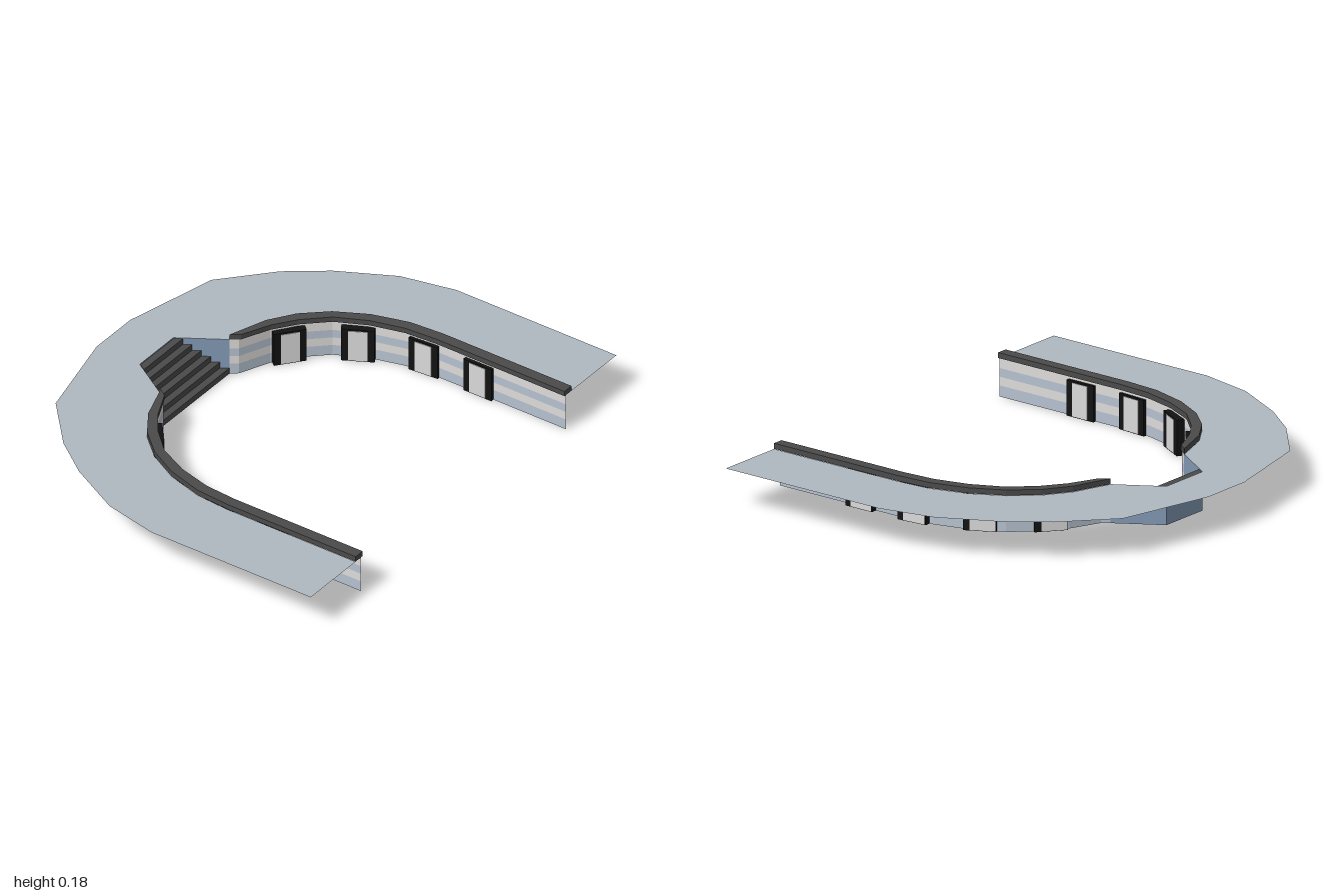
import * as THREE from 'three';

const mat = (name, color, side = THREE.FrontSide) => {
  const m = new THREE.MeshStandardMaterial({ color, side });
  m.name = name;
  return m;
};

// Half plans as [x, z], running from the open front end to the stairs
const INNER = [[0.66, 0.82], [0.66, 0.22], [0.65, 0.08], [0.613, -0.06], [0.55, -0.19],
  [0.46, -0.285], [0.37, -0.35], [0.25, -0.405], [0.225, -0.44]];
const OUTER = [[0.706, 0.82], [0.706, 0.22], [0.695, 0.07], [0.65, -0.085], [0.58, -0.215],
  [0.49, -0.315], [0.385, -0.385], [0.235, -0.437], [0.225, -0.44]];
const DECK = [[1, 0.82], [1, 0.07], [0.95, -0.16], [0.83, -0.39], [0.71, -0.55], [0.51, -0.73], [0.11, -0.825]];
const STAIR_FRONT = [0.225, -0.44], STAIR_BACK = [0.11, -0.622];
const DECK_Y = 0.157;

const mirror = (pts) => pts.map(([x, z]) => [-x, z]);
const lerp = (a, b, t) => [a[0] + (b[0] - a[0]) * t, a[1] + (b[1] - a[1]) * t];
const planShape = (pts) => new THREE.Shape(pts.map(([x, z]) => new THREE.Vector2(x, -z)));

// Flat sheet or solid slab from a plan outline
function sheet(pts, y) {
  return new THREE.ShapeGeometry(planShape(pts)).rotateX(-Math.PI / 2).translate(0, y, 0);
}
function slab(pts, y, h) {
  return new THREE.ExtrudeGeometry(planShape(pts), { depth: h, bevelEnabled: false })
    .rotateX(-Math.PI / 2).translate(0, y, 0);
}

// Upright strip following a plan path
function upright(pts, y0, y1) {
  const v = [];
  for (let i = 0; i < pts.length - 1; i++) {
    const [ax, az] = pts[i], [bx, bz] = pts[i + 1];
    v.push(ax, y0, az, bx, y1, bz, bx, y0, bz, ax, y0, az, ax, y1, az, bx, y1, bz);
  }
  const g = new THREE.BufferGeometry();
  g.setAttribute('position', new THREE.Float32BufferAttribute(v, 3));
  g.computeVertexNormals();
  return g;
}

export function createModel() {
  const root = new THREE.Group();
  root.name = 'curvedTerrace';
  const deckMat = mat('deckGrey', 0xafb8c0, THREE.DoubleSide);
  const white = mat('wallWhite', 0xdedcda, THREE.DoubleSide);
  const band = mat('wallBlueGrey', 0xb6c2d0, THREE.DoubleSide);
  const blue = mat('stairwellBlue', 0x8299b4, THREE.DoubleSide);
  const dark = mat('copingCharcoal', 0x4a4a4a);
  const black = mat('frameBlack', 0x121212);
  const panelMat = mat('doorPanel', 0xdadada);
  const green = mat('plantGreen', 0x1f5a30, THREE.DoubleSide);

  const add = (name, geometry, material, parent = root) => {
    const m = new THREE.Mesh(geometry, material);
    m.name = name;
    parent.add(m);
    return m;
  };

  // Deck wraps around the walls and the stairwell
  const half = [...DECK, ...mirror(DECK).reverse(), ...mirror(OUTER), mirror([STAIR_BACK])[0],
    STAIR_BACK, ...[...OUTER].reverse()];
  add('deck', sheet(half, DECK_Y), deckMat);

  // Banded walls, coping and doors on each side
  const wallPath = INNER.map((p, i) => lerp(p, OUTER[i], 0.2));
  const bands = [[0, 0.045, band], [0.045, 0.08, white], [0.08, 0.115, band], [0.115, 0.16, white]];
  // Door centre [x, z] and direction along the wall
  const doors = [
    [0.675, 0.415, 0, 1],
    [0.672, 0.16, 0.08, 1],
    [0.593, -0.1, 0.48, 0.88],
    [0.428, -0.308, 0.78, 0.62],
  ];
  for (const s of [1, -1]) {
    const side = new THREE.Group();
    side.name = s > 0 ? 'leftWing' : 'rightWing';
    root.add(side);
    const flip = (pts) => (s > 0 ? pts : mirror(pts));

    bands.forEach(([y0, y1, m]) => add('wallBand', upright(flip(wallPath), y0, y1), m, side));
    add('coping', slab(flip([...INNER, ...OUTER.slice(0, -1).reverse()]), 0.158, 0.022), dark, side);

    for (const [x, z, tx, tz] of doors) {
      const door = new THREE.Group();
      door.name = 'door';
      door.position.set(s * x, 0, z);
      door.rotation.y = Math.atan2(-s * tz, tx);
      side.add(door);
      add('doorFrame', new THREE.BoxGeometry(0.13, 0.145, 0.04).translate(0, 0.0725, 0), black, door);
      add('innerPanel', new THREE.BoxGeometry(0.075, 0.135, 0.004).translate(0, 0.071, 0.0205), panelMat, door);
      add('outerPanel', new THREE.BoxGeometry(0.1, 0.138, 0.004)
        .translate(-0.012 * s, 0.071, -0.0205), panelMat, door);
    }
  }

  // Stairwell walls
  add('stairwellWalls', upright([STAIR_FRONT, STAIR_BACK, ...mirror([STAIR_BACK, STAIR_FRONT])], 0, DECK_Y), blue);

  // Tapering stairs
  const steps = 6, rise = 0.155 / steps;
  const back = [STAIR_BACK[0] - 0.002, STAIR_BACK[1] + 0.002];
  const front = [STAIR_FRONT[0] - 0.002, STAIR_FRONT[1]];
  for (let i = 0; i < steps; i++) {
    const nose = lerp(front, back, i / steps);
    add('step', slab([nose, back, ...mirror([back, nose])], i * rise, rise), dark);
  }

  // Small planted patches on the underside of the stairs
  for (const [x, z] of [[0.14, -0.47], [0.1, -0.54], [0.02, -0.5], [0.04, -0.58], [-0.05, -0.52]]) {
    add('plantPatch', new THREE.CylinderGeometry(0.016, 0.016, 0.002, 6).translate(x, 0, z), green);
  }
  return root;
}
